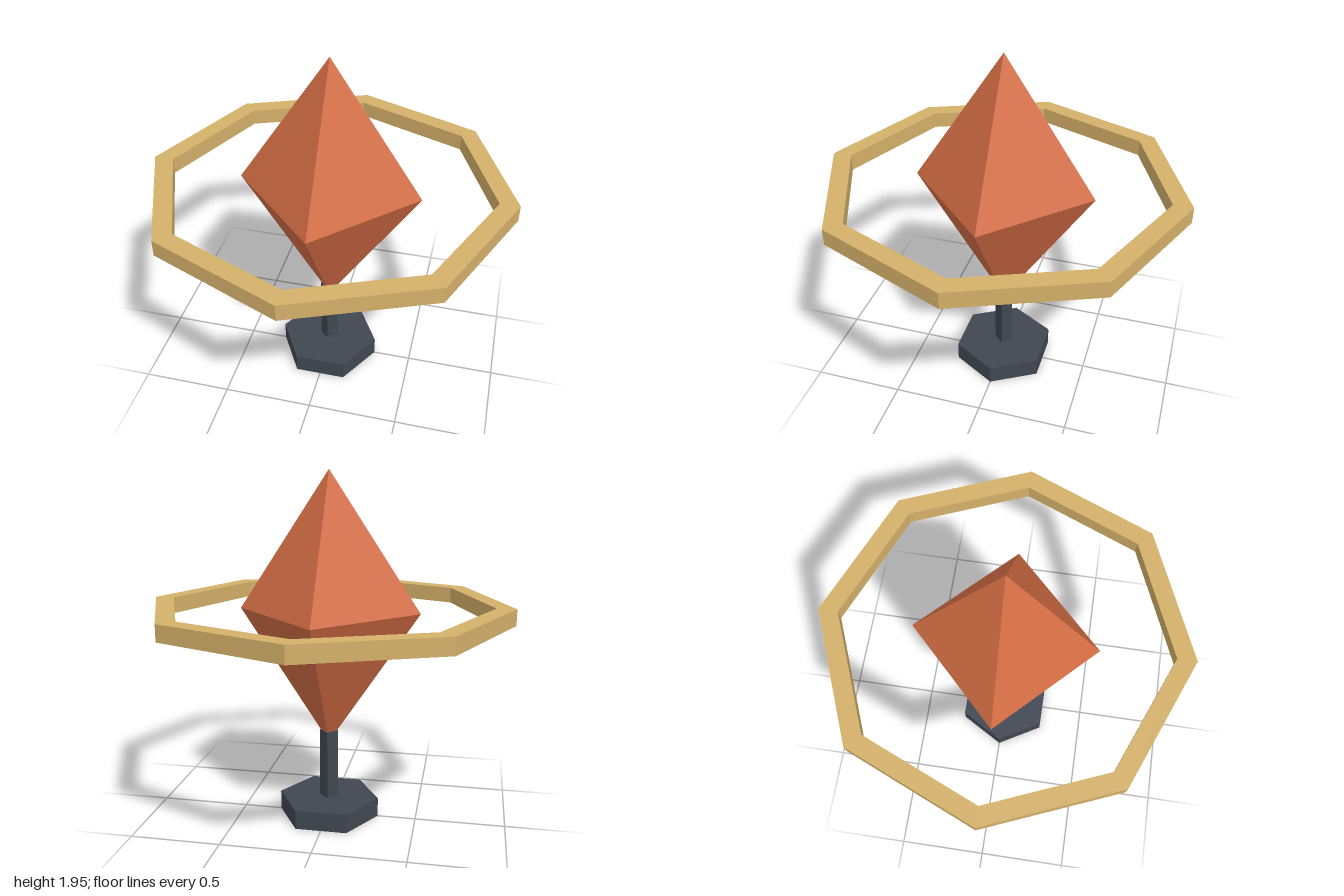
import * as THREE from 'three';

const material = (name, color) => {
  const m = new THREE.MeshStandardMaterial({ color, flatShading: true });
  m.name = name;
  return m;
};

export function createModel() {
  const group = new THREE.Group();
  const coral = material('coral', 0xd46d44);
  const gold = material('gold', 0xd4b06a);
  const slate = material('slate', 0x3f4751);

  const add = (name, geometry, mat, y) => {
    const mesh = new THREE.Mesh(geometry, mat);
    mesh.name = name;
    mesh.position.y = y;
    group.add(mesh);
    return mesh;
  };

  // Hexagonal foot with corners on the x axis
  add('base', new THREE.CylinderGeometry(0.285, 0.285, 0.108, 6, 1, false, Math.PI / 2), slate, 0.054);

  // Four-sided post, corners on the axes
  add('post', new THREE.CylinderGeometry(0.052, 0.052, 0.4, 4), slate, 0.304);

  // Tall crystal: a stretched octahedron
  add('crystal', new THREE.OctahedronGeometry(1).scale(0.5, 0.756, 0.5), coral, 1.19);

  // Octagonal ring of rectangular section, corners on the axes
  const octagon = (r) => Array.from({ length: 8 }, (_, i) =>
    new THREE.Vector2(r * Math.cos(i * Math.PI / 4), r * Math.sin(i * Math.PI / 4)));
  const outline = new THREE.Shape(octagon(1));
  outline.holes.push(new THREE.Path(octagon(0.894)));
  const ring = new THREE.ExtrudeGeometry(outline, { depth: 0.09, bevelEnabled: false });
  ring.translate(0, 0, -0.045).rotateX(-Math.PI / 2);
  add('ring', ring, gold, 1.19);

  return group;
}
